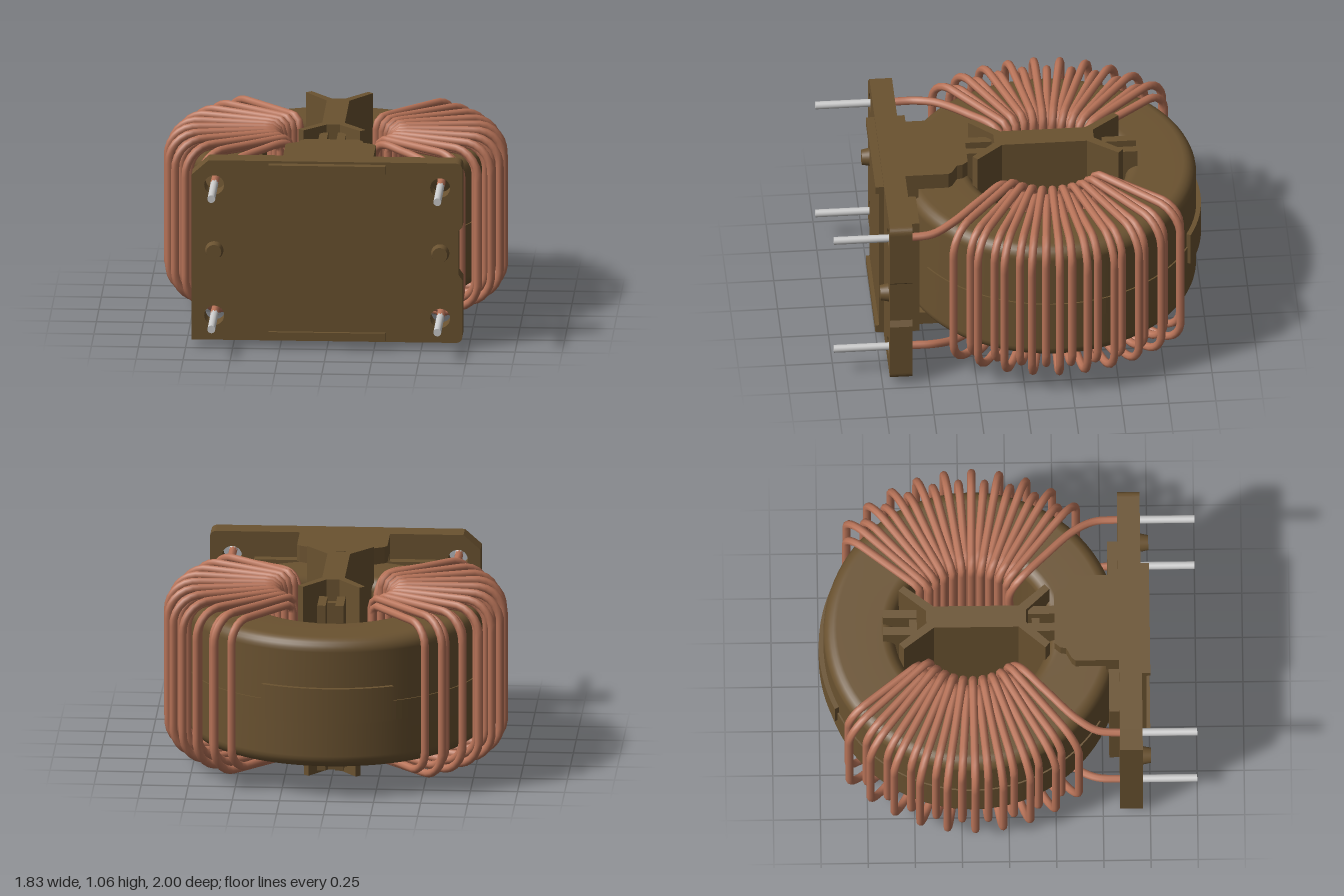
import * as THREE from 'three';

const CY = 0.527, CZ = -0.19; // centre of the ring core
const brown = new THREE.MeshStandardMaterial({ color: 0x6a5230 });
const copper = new THREE.MeshStandardMaterial({ color: 0xb87358 });
const steel = new THREE.MeshStandardMaterial({ color: 0xcccccc });

function add(parent, name, geometry, material = brown, x = 0, y = 0, z = 0) {
  const mesh = new THREE.Mesh(geometry, material);
  mesh.name = name;
  mesh.position.set(x, y, z);
  parent.add(mesh);
  return mesh;
}

const box = (w, h, d) => new THREE.BoxGeometry(w, h, d);

// Outline given as [x, z] pairs, raised from y0 to y1
function prism(points, y0, y1) {
  const shape = new THREE.Shape(points.map(([x, z]) => new THREE.Vector2(x, -z)));
  const g = new THREE.ExtrudeGeometry(shape, { depth: y1 - y0, bevelEnabled: false });
  return g.rotateX(-Math.PI / 2).translate(0, y0, 0);
}

// Right half of an outline, completed by mirroring in x
const mirrored = (half) => [...half, ...half.map(([x, z]) => [-x, z]).reverse()];

// Ring section with rounded corners
function ringProfile(r0, r1, y0, y1, c) {
  const pts = [];
  const corners = [[r0 + c, y0 + c, 180], [r1 - c, y0 + c, 270], [r1 - c, y1 - c, 0], [r0 + c, y1 - c, 90]];
  // run inner top -> inner bottom -> outer bottom -> outer top
  for (const [cx, cy, start] of corners) {
    for (let i = 0; i <= 6; i++) {
      const a = THREE.MathUtils.degToRad(start + i * 15);
      pts.push(new THREE.Vector2(cx + c * Math.cos(a), cy + c * Math.sin(a)));
    }
  }
  pts.push(pts[0].clone());
  return pts;
}

// Raised strip on the outside of the ring, centred on the back
function strip(r, y0, y1, halfAngle) {
  const shape = new THREE.Shape();
  shape.absarc(0, 0, r, Math.PI / 2 - halfAngle, Math.PI / 2 + halfAngle, false);
  shape.absarc(0, 0, 0.72, Math.PI / 2 + halfAngle, Math.PI / 2 - halfAngle, true);
  shape.closePath();
  const g = new THREE.ExtrudeGeometry(shape, { depth: y1 - y0, bevelEnabled: false, curveSegments: 60 });
  return g.rotateX(-Math.PI / 2).translate(0, y0, CZ);
}

// One closed wire turn: rounded rectangle in the radius / height plane
function turn(r0, r1, h, cIn, cOut) {
  const v = (x, y) => new THREE.Vector3(x, y, 0);
  const corners = [[r0, -h, cIn, 1, 0], [r1, -h, cOut, 0, 1], [r1, h, cOut, -1, 0], [r0, h, cIn, 0, -1]];
  const path = new THREE.CurvePath();
  let last = v(r0, h - cIn);
  const first = last;
  for (const [x, y, c, dx, dy] of corners) {
    // incoming direction is the outgoing one turned back a quarter
    const start = v(x - dy * c, y + dx * c);
    const end = v(x + dx * c, y + dy * c);
    const k = 0.45;
    path.add(new THREE.LineCurve3(last, start));
    path.add(new THREE.CubicBezierCurve3(start, start.clone().lerp(v(x, y), 1 - k), end.clone().lerp(v(x, y), 1 - k), end));
    last = end;
  }
  if (last.distanceTo(first) > 1e-6) path.add(new THREE.LineCurve3(last, first));
  return new THREE.TubeGeometry(path, 72, 0.022, 8, true);
}

function createCore() {
  const core = new THREE.Group();
  core.name = 'ringCore';
  const ring = new THREE.LatheGeometry(ringProfile(0.41, 0.785, 0.17, 0.885, 0.07), 96);
  add(core, 'ringCase', ring, brown, 0, 0, CZ);
  add(core, 'caseBand', strip(0.793, 0.43, 0.535, 2.6));
  add(core, 'caseTongue', strip(0.81, 0.43, 0.62, 0.45));
  return core;
}

function createWinding(side) {
  const winding = new THREE.Group();
  winding.name = side > 0 ? 'leftWinding' : 'rightWinding';
  const longTurn = turn(0.3, 0.892, 0.436, 0.06, 0.15);
  const shortTurn = turn(0.345, 0.835, 0.408, 0.05, 0.12);
  for (let i = 0; i < 20; i++) {
    const deg = 52 - (i * 91) / 19;
    const t = add(winding, 'wireTurn', i % 2 ? longTurn : shortTurn, copper, 0, CY, CZ);
    const a = THREE.MathUtils.degToRad(deg);
    t.rotation.y = side > 0 ? a : Math.PI - a;
  }
  // Wire ends led through the plate, with their pins
  for (const up of [1, -1]) {
    const path = [[0.21, 0, 0.02], [0.21, 0.33, 0.02], [0.25, 0.415, 0.07], [0.38, 0.415, 0.2],
      [0.53, 0.39, 0.36], [0.59, 0.365, 0.47], [0.6, 0.358, 0.58], [0.6, 0.358, 0.7]]
      .map(([x, y, z]) => new THREE.Vector3(side * x, CY + up * y, z));
    add(winding, 'wireLead', new THREE.TubeGeometry(new THREE.CatmullRomCurve3(path), 48, 0.022, 8), copper);
    const pin = new THREE.CylinderGeometry(0.021, 0.021, 0.32, 20).rotateX(Math.PI / 2);
    add(winding, 'pin', pin, steel, side * 0.6, CY + up * 0.358, 0.84);
  }
  return winding;
}

function createBase() {
  const base = new THREE.Group();
  base.name = 'base';
  // Plate with a chamfered corner, a side notch and four wire holes
  const s = new THREE.Shape();
  s.moveTo(-0.72, 0.035);
  s.lineTo(0.68, 0.035);
  s.quadraticCurveTo(0.718, 0.035, 0.718, 0.075);
  s.lineTo(0.718, 0.38);
  s.lineTo(0.697, 0.41);
  s.lineTo(0.697, 0.65);
  s.lineTo(0.718, 0.67);
  s.lineTo(0.718, 0.98);
  s.quadraticCurveTo(0.718, 1.02, 0.68, 1.02);
  s.lineTo(-0.63, 1.02);
  s.lineTo(-0.72, 0.94);
  s.closePath();
  for (const x of [-0.6, 0.6]) for (const y of [CY - 0.358, CY + 0.358]) {
    const hole = new THREE.Path();
    hole.absarc(x, y, 0.053, 0, Math.PI * 2, true);
    s.holes.push(hole);
  }
  const plate = new THREE.ExtrudeGeometry(s, { depth: 0.12, bevelEnabled: false, curveSegments: 16 });
  add(base, 'plate', plate, brown, 0, 0, 0.59);

  // Raised front panel with a rail at top and bottom
  add(base, 'frontPanel', box(0.62, 0.96, 0.025), brown, 0, CY, 0.7225);
  for (const y of [0.07, 0.985]) add(base, 'panelRail', box(0.62, 0.045, 0.05), brown, 0, y, 0.73);
  for (const x of [-0.6, 0.6]) {
    const peg = new THREE.CylinderGeometry(0.04, 0.05, 0.05, 32).rotateX(Math.PI / 2);
    add(base, 'peg', peg, brown, x, CY, 0.73);
  }

  // Saddle behind the plate and the tabs gripping the ring
  add(base, 'saddle', box(0.96, 0.71, 0.06), brown, 0, CY, 0.565);
  const tab = mirrored([[0.24, 0.6], [0.24, 0.36], [0.225, 0.34], [0.17, 0.31], [0.165, 0.28], [0.14, 0.25]]);
  add(base, 'topTab', prism(tab, 0.93, 1.02));
  add(base, 'bottomTab', prism(tab, 0.035, 0.11));
  for (const y of [0.9, 0.145]) add(base, 'tabRoot', box(0.48, 0.09, 0.08), brown, 0, y, 0.56);
  return base;
}

function createDivider() {
  const divider = new THREE.Group();
  divider.name = 'divider';
  // Central wall flaring into two arms at each end
  const outline = mirrored([[0.035, 0.1], [0.15, 0.225], [0.178, 0.2], [0.06, 0.06],
    [0.06, -0.39], [0.178, -0.55], [0.15, -0.575], [0.035, -0.43]]);
  add(divider, 'dividerWall', prism(outline, 0.08, 1.06));
  const foot = outline.map(([x, z]) => [x * 0.84, (z + 0.18) * 0.86 - 0.18]);
  add(divider, 'dividerFoot', prism(foot, 0, 0.08));
  // Clip prongs
  for (const x of [-0.048, 0.048]) {
    add(divider, 'frontProng', box(0.045, 0.95, 0.14), brown, x, 0.545, 0.18);
    add(divider, 'backProng', box(0.045, 0.91, 0.18), brown, x, CY, -0.57);
  }
  for (const z of [0.15, -0.5]) add(divider, 'prongBridge', box(0.08, 0.86, 0.04), brown, 0, CY, z);
  return divider;
}

export function createModel() {
  const model = new THREE.Group();
  model.name = 'chokeCoil';
  model.add(createCore(), createWinding(1), createWinding(-1), createBase(), createDivider());
  return model;
}
